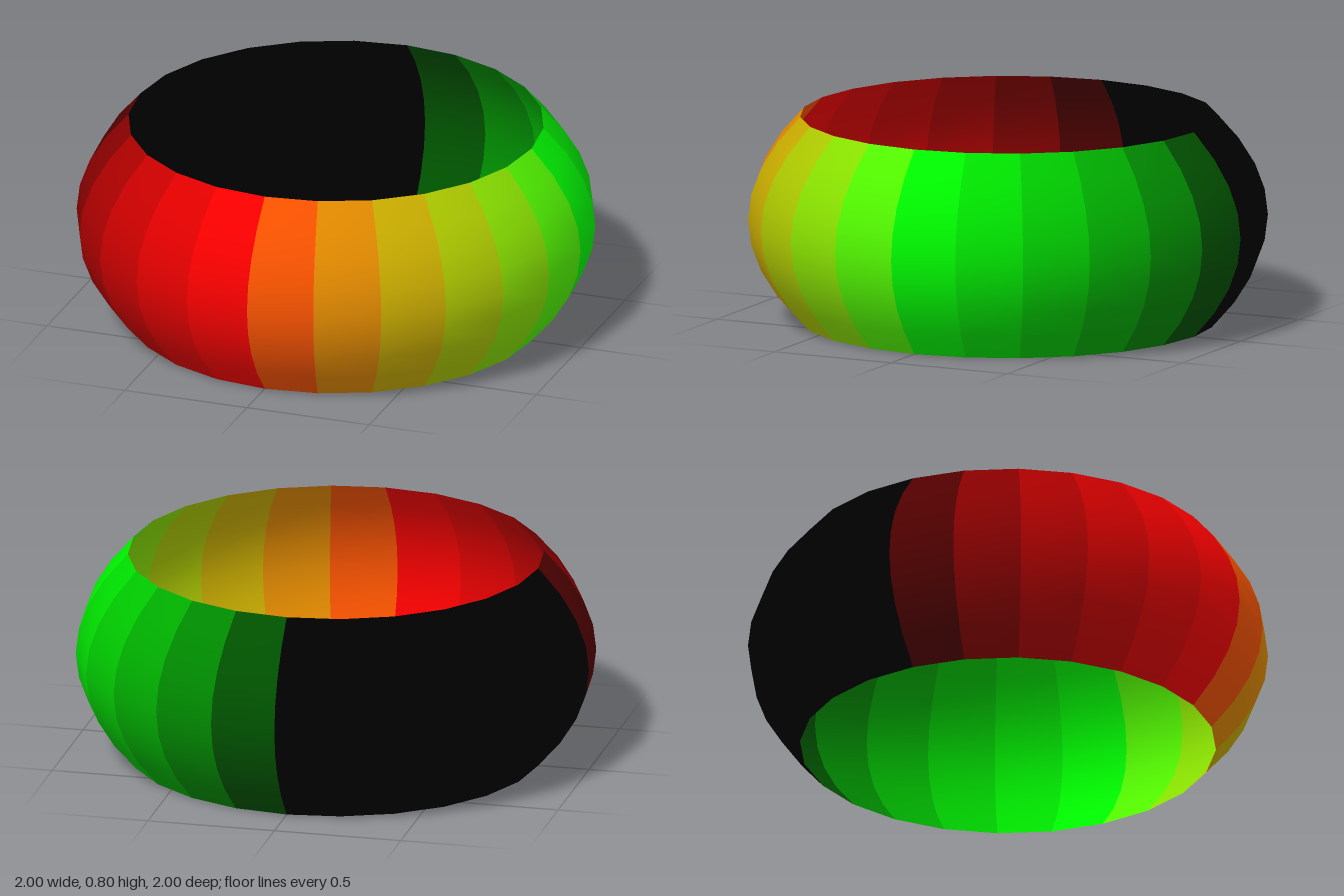
import * as THREE from 'three';

const SIDES = 24;
const HEIGHT = 0.8;

// Bulging band profile, from the bottom rim to the top rim
const profile = Array.from({ length: 9 }, (_, i) => {
  const t = i / 4 - 1;
  return new THREE.Vector2(1 - 0.2 * t * t, (HEIGHT / 2) * (1 + t));
});

// Colours at the front, left, back and right of the ring
const corners = [[1, 0, 0], [0, 1, 0], [0, 0, 0], [0, 0, 0]].map((c) => new THREE.Color(...c));

// Colour at a turn from 0 to 1, blended evenly around the ring
function ringColor(turn) {
  const q = turn * 4;
  const i = Math.floor(q);
  return corners[i].clone().lerp(corners[(i + 1) % 4], q - i);
}

export function createModel() {
  const ring = new THREE.Group();
  ring.name = 'ring';
  const step = (Math.PI * 2) / SIDES;

  // Open, thin band made of flat-sided staves with smooth normals
  for (let i = 0; i < SIDES; i++) {
    const stave = new THREE.Mesh(
      new THREE.LatheGeometry(profile, 1, i * step, step),
      new THREE.MeshStandardMaterial({
        color: ringColor((i + 0.5) / SIDES),
        side: THREE.DoubleSide,
      })
    );
    stave.name = `bandSegment${i + 1}`;
    ring.add(stave);
  }
  return ring;
}
